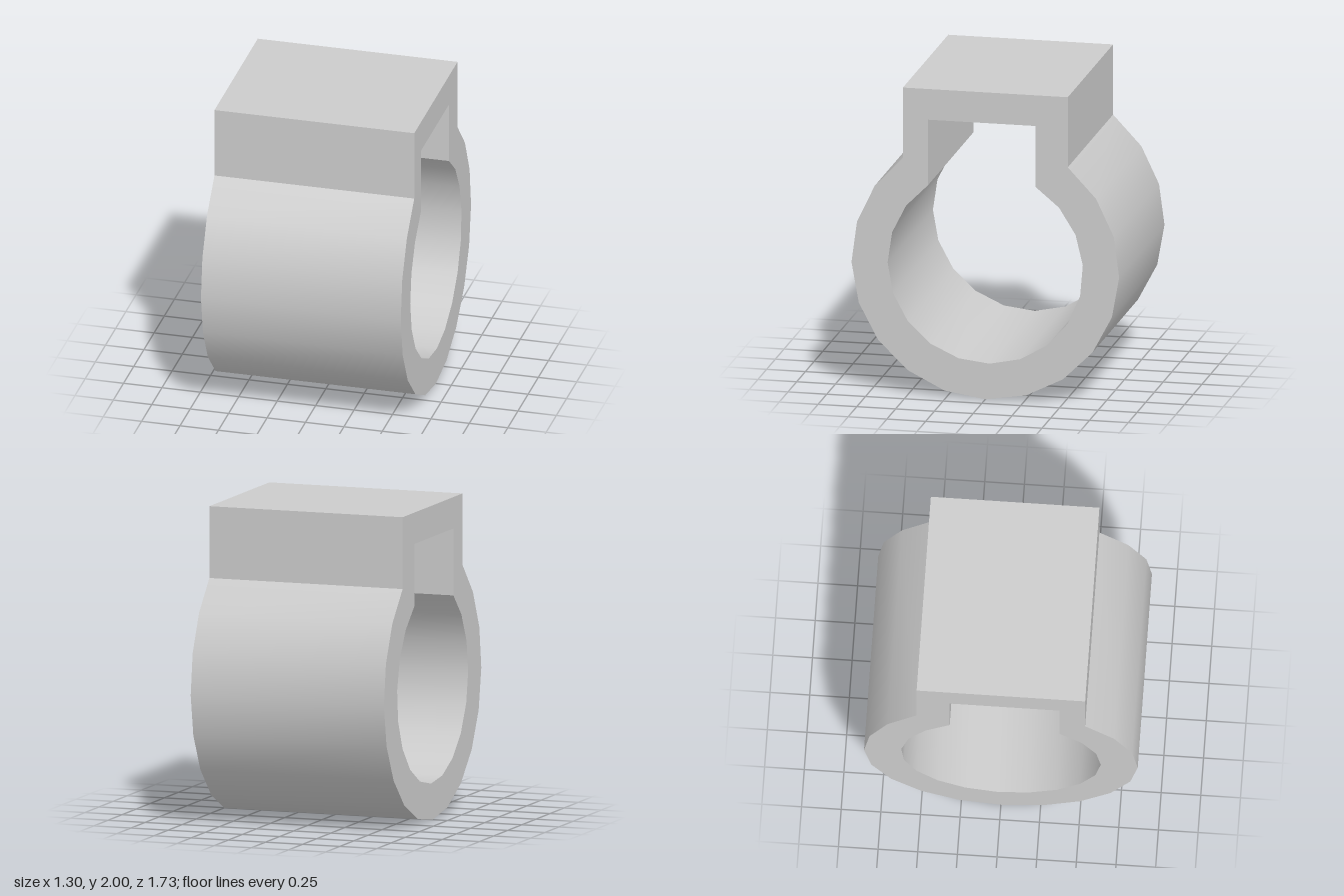
import * as THREE from 'three';
import { toCreasedNormals } from 'three/addons/utils/BufferGeometryUtils.js';

const CENTRE_Y = 0.863;
const WIDTH = 1.3;

// Points on an arc; angles in degrees measured from the lowest point.
// Shape x is the model's -z, so the profile is drawn as seen from its left (+x).
function arc(radius, from, to, segments) {
  return Array.from({ length: segments + 1 }, (_, i) => {
    const a = THREE.MathUtils.degToRad(from + ((to - from) * i) / segments);
    return new THREE.Vector2(-radius * Math.sin(a), CENTRE_Y - radius * Math.cos(a));
  });
}

// Continue an arc's two ends straight up to a flat top.
function keyhole(points, top) {
  const first = points[0];
  const last = points[points.length - 1];
  return [...points, new THREE.Vector2(last.x, top), new THREE.Vector2(first.x, top)];
}

export function createModel() {
  const group = new THREE.Group();
  group.name = 'keywayCollar';

  // Outer ring with the square housing on top
  const profile = new THREE.Shape(keyhole(arc(0.863, 142, -142, 16), 2));
  // Bore with its slightly off-centre square slot
  profile.holes.push(new THREE.Path(keyhole(arc(0.63, 144.2, -149.2, 16), 1.8)));

  // Sweep the profile across the width, smooth round the ring, sharp at corners
  let geometry = new THREE.ExtrudeGeometry(profile, { depth: WIDTH, bevelEnabled: false });
  geometry.translate(0, 0, -WIDTH / 2);
  geometry.rotateY(Math.PI / 2);
  geometry = toCreasedNormals(geometry, THREE.MathUtils.degToRad(30));

  const collar = new THREE.Mesh(geometry, new THREE.MeshStandardMaterial({ color: 0xcccccc }));
  collar.name = 'collar';
  group.add(collar);
  return group;
}
